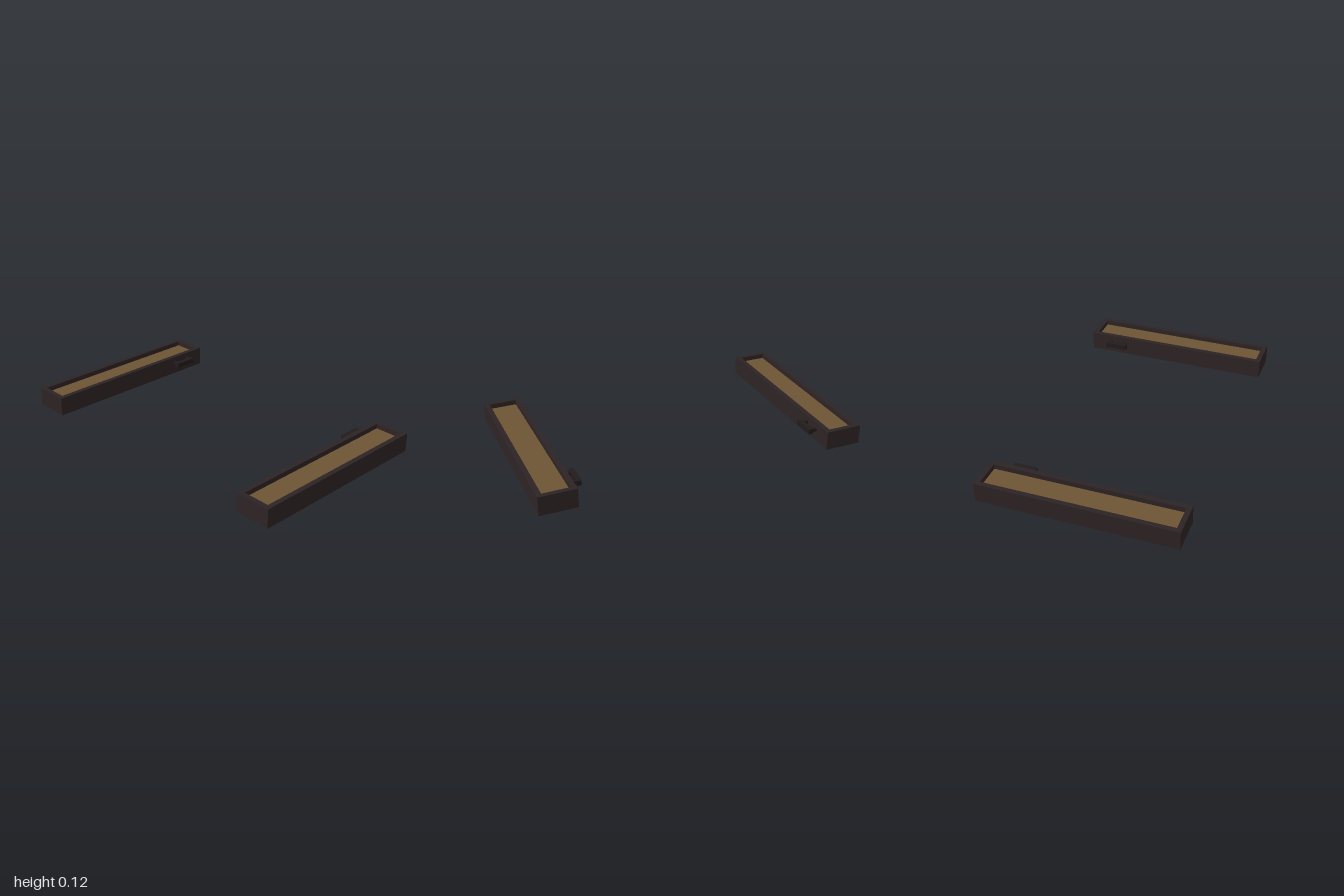
import * as THREE from 'three';

const casing = new THREE.MeshStandardMaterial({ color: 0x2d2324 });
casing.name = 'dark casing';
const wood = new THREE.MeshStandardMaterial({ color: 0x6e5435 });
wood.name = 'brown lining';
const metal = new THREE.MeshStandardMaterial({ color: 0x231b1c });
metal.name = 'dark handle';

const HEIGHT = 0.117, WALL = 0.03, RECESS = 0.03;

// Box given by its low and high corners
function addBox(parent, name, material, [x0, y0, z0], [x1, y1, z1]) {
  const mesh = new THREE.Mesh(new THREE.BoxGeometry(x1 - x0, y1 - y0, z1 - z0), material);
  mesh.position.set((x0 + x1) / 2, (y0 + y1) / 2, (z0 + z1) / 2);
  mesh.name = name;
  parent.add(mesh);
}

// One shallow tray on side s (+1 or -1), running from z = back to z = front
function createTray(s, back, front) {
  const tray = new THREE.Group();
  const add = (name, mat, xa, xb, y0, y1, z0, z1) =>
    addBox(tray, name, mat, [Math.min(s * xa, s * xb), y0, z0], [Math.max(s * xa, s * xb), y1, z1]);
  const inner = 0.775, outer = 1;
  const floor = HEIGHT - RECESS;

  // Walls
  add('outerWall', casing, outer - WALL, outer, 0, HEIGHT, back, front);
  add('innerWall', casing, inner, inner + WALL, 0, HEIGHT, back, front);
  add('backWall', casing, inner + WALL, outer - WALL, 0, HEIGHT, back, back + WALL);
  add('frontWall', casing, inner + WALL, outer - WALL, 0, HEIGHT, front - WALL, front);

  // Base and recessed lining
  add('base', casing, inner + WALL, outer - WALL, 0, floor - 0.008, back + WALL, front - WALL);
  add('lining', wood, inner + WALL, outer - WALL, floor - 0.008, floor, back + WALL, front - WALL);

  // Pull handle near the back, facing the centre
  add('handleBar', metal, 0.718, 0.747, 0.059, 0.09, -0.48, -0.338);
  for (const z of [-0.461, -0.361])
    add('handlePost', metal, 0.747, inner, 0.064, 0.085, z - 0.011, z + 0.011);
  return tray;
}

export function createModel() {
  const model = new THREE.Group();
  model.name = 'trayPair';
  const left = createTray(1, -0.595, 0.585);
  left.name = 'leftTray';
  const right = createTray(-1, -0.595, 0.595);
  right.name = 'rightTray';
  model.add(left, right);
  return model;
}
